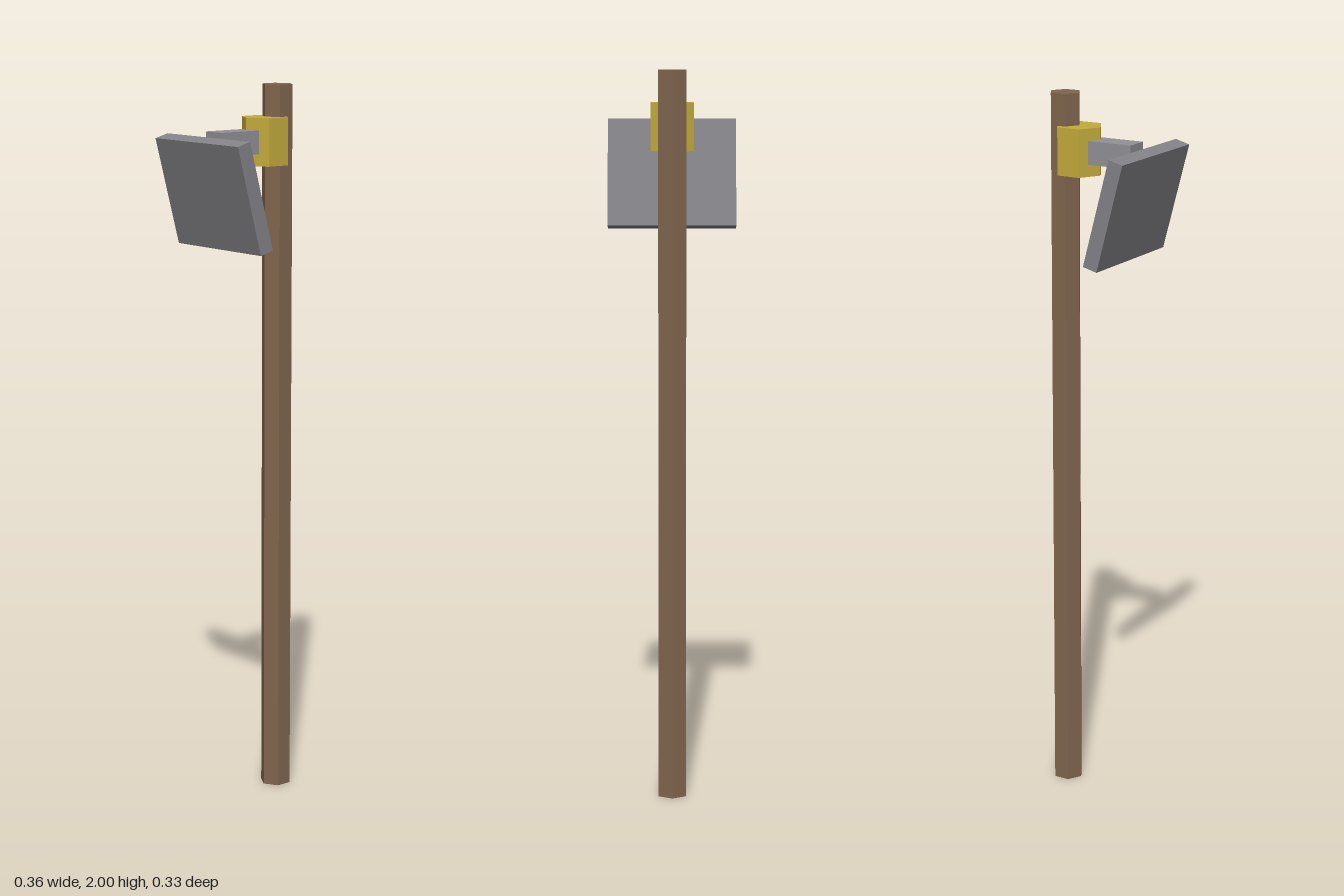
import * as THREE from 'three';

const material = (name, color) => {
  const m = new THREE.MeshStandardMaterial({ color, flatShading: true });
  m.name = name;
  return m;
};

export function createModel() {
  const group = new THREE.Group();
  const wood = material('brown wood', 0x80664e);
  const brass = material('yellow brass', 0xc4ab3c);
  const steel = material('light grey', 0x929297);
  const slate = material('grey', 0x838388);

  const add = (name, geometry, mat, x, y, z) => {
    const mesh = new THREE.Mesh(geometry, mat);
    mesh.name = name;
    mesh.position.set(x, y, z);
    group.add(mesh);
    return mesh;
  };
  const hexPrism = (r, h) => new THREE.CylinderGeometry(r, r, h, 6);

  // Tall six-sided shaft
  add('pole', hexPrism(0.0437, 2), wood, 0, 1, -0.121);
  // Collar offset towards the front of the shaft
  add('collar', hexPrism(0.067, 0.13), brass, 0, 1.848, -0.077);
  // Short arm reaching from the collar to the panel
  add('arm', new THREE.BoxGeometry(0.066, 0.064, 0.152), steel, 0, 1.848, 0.026);
  // Square panel, its top leaning forward
  const panel = add('panel', new THREE.BoxGeometry(0.356, 0.303, 0.043), slate, 0, 1.715, 0.102);
  panel.rotation.x = THREE.MathUtils.degToRad(15);

  return group;
}
